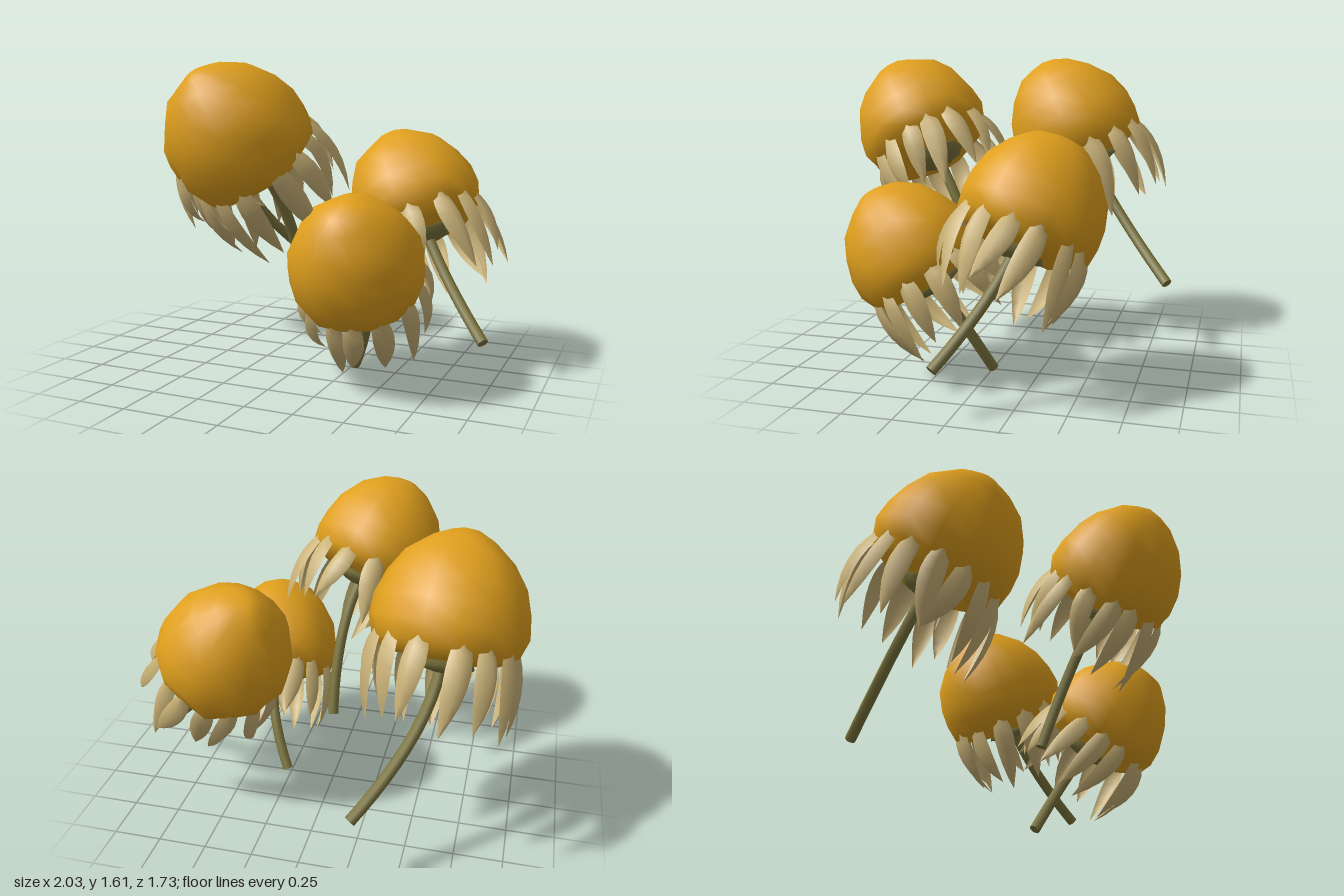
import * as THREE from 'three';
import { mergeVertices } from 'three/addons/utils/BufferGeometryUtils.js';

const dome = new THREE.MeshStandardMaterial({ color: 0xdf9f1d });
dome.name = 'golden orange';
const tan = new THREE.MeshStandardMaterial({ color: 0xcab277, side: THREE.DoubleSide });
tan.name = 'pale tan';
const olive = new THREE.MeshStandardMaterial({ color: 0x7c743c });
olive.name = 'olive';

function seeded(seed) {
  let s = seed * 7919 + 13;
  return () => (s = (s * 16807) % 2147483647) / 2147483647;
}

// Shared vertices give smooth shading across the lathe seam
function smooth(geo) {
  geo.deleteAttribute('uv');
  geo.deleteAttribute('normal');
  const merged = mergeVertices(geo, 1e-4);
  merged.computeVertexNormals();
  return merged;
}

// Lumpy dome, base at y = 0, flattened below
function domeGeometry(seed) {
  const profile = [[0, 0.01], [0.14, 0], [0.26, 0.015], [0.335, 0.07], [0.358, 0.16], [0.35, 0.26],
    [0.315, 0.37], [0.25, 0.475], [0.15, 0.56], [0.07, 0.595], [0, 0.61]];
  const geo = new THREE.LatheGeometry(profile.map(p => new THREE.Vector2(...p)), 15);
  const pos = geo.attributes.position;
  for (let i = 0; i < pos.count; i++) {
    const x = pos.getX(i), y = pos.getY(i), z = pos.getZ(i);
    const k = 1 + 0.02 * Math.sin(x * 20 + seed * 2) * Math.cos(z * 18 + seed)
      + 0.016 * Math.sin(y * 22 + x * 17 - z * 15 + seed * 3);
    pos.setXYZ(i, x * k, 0.3 + (y - 0.3) * k, z * k);
  }
  return smooth(geo);
}

// Pointed, folded petal hanging from the rim with its tip curling inward
function petalGeometry(rand) {
  const spine = new THREE.QuadraticBezierCurve(
    new THREE.Vector2(0.32, 0.09),
    new THREE.Vector2(0.37 + rand() * 0.035, -0.04 - rand() * 0.06),
    new THREE.Vector2(0.27 + rand() * 0.08, -0.24 - rand() * 0.09));
  const widths = [0.04, 0.052, 0.057, 0.054, 0.045, 0.027, 0.001];
  const sway = (rand() - 0.5) * 0.16;
  const verts = [], index = [];
  widths.forEach((w, i) => {
    const t = i / (widths.length - 1), p = spine.getPoint(t), n = spine.getTangent(t);
    const shift = sway * t * t;
    for (const side of [-1, 0, 1]) {
      const fold = side === 0 ? 0.35 * w : -0.35 * w;
      verts.push(p.x - n.y * fold, p.y + n.x * fold, side * w + shift);
    }
    if (i > 0) for (const c of [0, 1]) {
      const a = (i - 1) * 3 + c, b = a + 3;
      index.push(a, a + 1, b, a + 1, b + 1, b);
    }
  });
  const geo = new THREE.BufferGeometry();
  geo.setAttribute('position', new THREE.Float32BufferAttribute(verts, 3));
  geo.setIndex(index);
  geo.computeVertexNormals();
  return geo;
}

// Scalloped green cup under the dome
function calyxGeometry() {
  const profile = [[0, -0.06], [0.035, -0.05], [0.09, -0.04], [0.145, -0.02], [0.13, 0.02], [0, 0.03]];
  const geo = new THREE.LatheGeometry(profile.map(p => new THREE.Vector2(...p)), 20);
  const pos = geo.attributes.position;
  for (let i = 0; i < pos.count; i++) {
    const x = pos.getX(i), z = pos.getZ(i);
    const k = Math.hypot(x, z) > 0.1 ? 1 + 0.05 * Math.cos(10 * Math.atan2(z, x)) : 1;
    pos.setX(i, x * k);
    pos.setZ(i, z * k);
  }
  return smooth(geo);
}

// Curved stem with a flat cut end
function addStem(group, base, axis, end) {
  const reach = base.distanceTo(end) * 0.4;
  const curve = new THREE.QuadraticBezierCurve3(base, base.clone().addScaledVector(axis, -reach), end);
  const radius = 0.029;
  const stem = new THREE.Mesh(new THREE.TubeGeometry(curve, 10, radius, 8), olive);
  stem.name = 'stem';
  const cut = new THREE.Mesh(new THREE.CircleGeometry(radius, 8), olive);
  cut.name = 'stemEnd';
  cut.position.copy(end);
  cut.quaternion.setFromUnitVectors(new THREE.Vector3(0, 0, 1), curve.getTangent(1));
  group.add(stem, cut);
}

function makeFlower({ name, center, axis, size, end }, seed) {
  const flower = new THREE.Group();
  flower.name = name;
  const up = new THREE.Vector3(...axis).normalize();
  const base = new THREE.Vector3(...center).addScaledVector(up, -0.3 * size);
  const rand = seeded(seed);

  const head = new THREE.Group();
  head.name = 'head';
  head.position.copy(base);
  head.quaternion.setFromUnitVectors(new THREE.Vector3(0, 1, 0), up);
  head.scale.setScalar(size);
  const cap = new THREE.Mesh(domeGeometry(seed), dome);
  cap.name = 'dome';
  const calyx = new THREE.Mesh(calyxGeometry(), olive);
  calyx.name = 'calyx';
  head.add(cap, calyx);

  const count = 14;
  for (let i = 0; i < count; i++) {
    const petal = new THREE.Mesh(petalGeometry(rand), tan);
    petal.name = 'petal';
    petal.rotation.y = ((i + (rand() - 0.5) * 0.5) / count) * Math.PI * 2;
    head.add(petal);
  }
  flower.add(head);
  addStem(flower, base, up, new THREE.Vector3(...end));
  return flower;
}

export function createModel() {
  const model = new THREE.Group();
  model.name = 'flowers';
  const flowers = [
    { name: 'backRightFlower', center: [-0.63, 1.3, -0.195], axis: [-0.06, 0.87, 0.47], size: 1.05, end: [-0.28, 0.39, -0.84] },
    { name: 'frontRightFlower', center: [-0.16, 1.315, 0.57], axis: [-0.32, 0.74, 0.52], size: 0.98, end: [0.02, 0.38, 0.08] },
    { name: 'backLeftFlower', center: [0.465, 0.975, -0.3], axis: [-0.45, 0.85, -0.3], size: 0.98, end: [0.97, 0.24, 0.07] },
    { name: 'frontLeftFlower', center: [0.415, 0.715, 0.425], axis: [0.0, 0.78, 0.6], size: 0.93, end: [0.27, 0.02, -0.01] },
  ];
  flowers.forEach((f, i) => model.add(makeFlower(f, i + 1)));
  return model;
}
